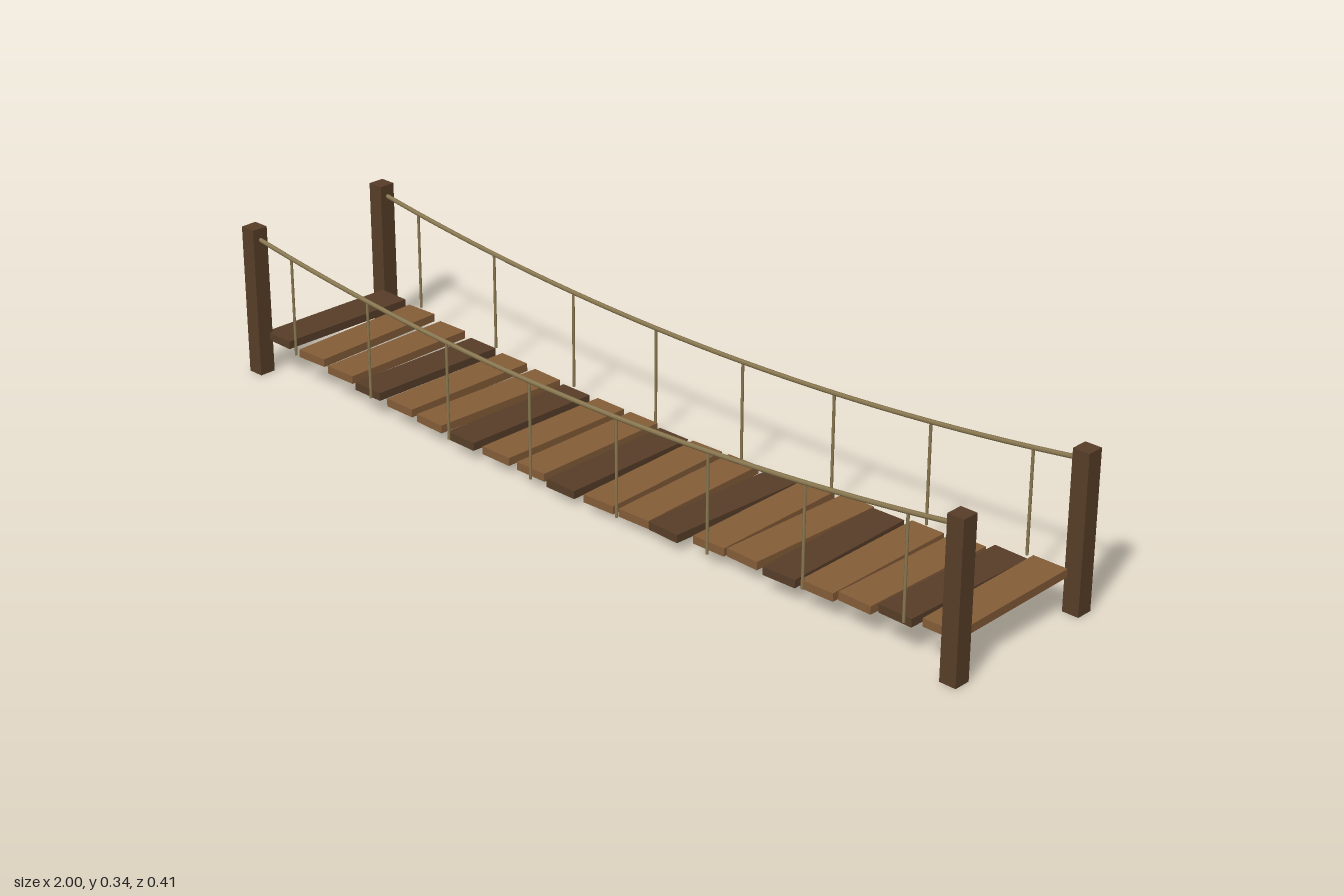
import * as THREE from 'three';

const material = (color) => new THREE.MeshStandardMaterial({ color });

// Sagging heights along the span
const deckY = (x) => 0.027 + 0.066 * x * x;
const ropeY = (x) => 0.247 + 0.076 * x * x;

export function createModel() {
  const bridge = new THREE.Group();
  bridge.name = 'ropeBridge';
  const darkWood = material(0x573d28);
  const lightWood = material(0x845d38);
  const ropeFibre = material(0x8a7850);

  const add = (name, geometry, mat, x, y, z) => {
    const mesh = new THREE.Mesh(geometry, mat);
    mesh.name = name;
    mesh.position.set(x, y, z);
    bridge.add(mesh);
    return mesh;
  };

  // Planks: each slightly skewed, every third one dark
  const yaw = [-0.02, 0.04, 0.015, -0.015, -0.01, -0.04, -0.015, -0.01, 0.005, 0.005,
    0.04, 0.03, -0.045, 0.02, -0.03, 0.03, 0.015, -0.015, -0.025, 0.015];
  const shift = [0.005, 0, 0, 0.003, 0, 0, 0.004, -0.003, -0.006, 0.005,
    0, -0.002, 0.003, -0.012, -0.01, 0.005, 0.005, 0.005, 0.004, 0.003];
  const plankGeometry = new THREE.BoxGeometry(0.08, 0.018, 0.336);
  yaw.forEach((angle, i) => {
    const x = -0.931 + i * 0.098;
    const plank = add('plank', plankGeometry, i % 3 ? lightWood : darkWood, x, deckY(x), shift[i]);
    plank.rotation.y = angle;
  });

  const postGeometry = new THREE.BoxGeometry(0.038, 0.344, 0.038);
  for (const side of [1, -1]) {
    const z = side * 0.184;

    // Corner posts
    for (const end of [1, -1]) add('post', postGeometry, darkWood, end * 0.981, 0.172, z);

    // Handrail rope
    const points = [];
    for (let i = 0; i <= 16; i++) {
      const x = -0.981 + (i / 16) * 1.962;
      points.push(new THREE.Vector3(x, ropeY(x), 0));
    }
    const curve = new THREE.CatmullRomCurve3(points);
    add('handrailRope', new THREE.TubeGeometry(curve, 32, 0.005, 6), ropeFibre, 0, 0, z);

    // Hanging ropes from handrail to deck
    for (let i = 0; i < 8; i++) {
      const x = (i - 3.5) * 0.2455;
      const height = ropeY(x) - deckY(x);
      add('hangingRope', new THREE.CylinderGeometry(0.0032, 0.0032, height, 6), ropeFibre,
        x, deckY(x) + height / 2, z);
    }
  }
  return bridge;
}
